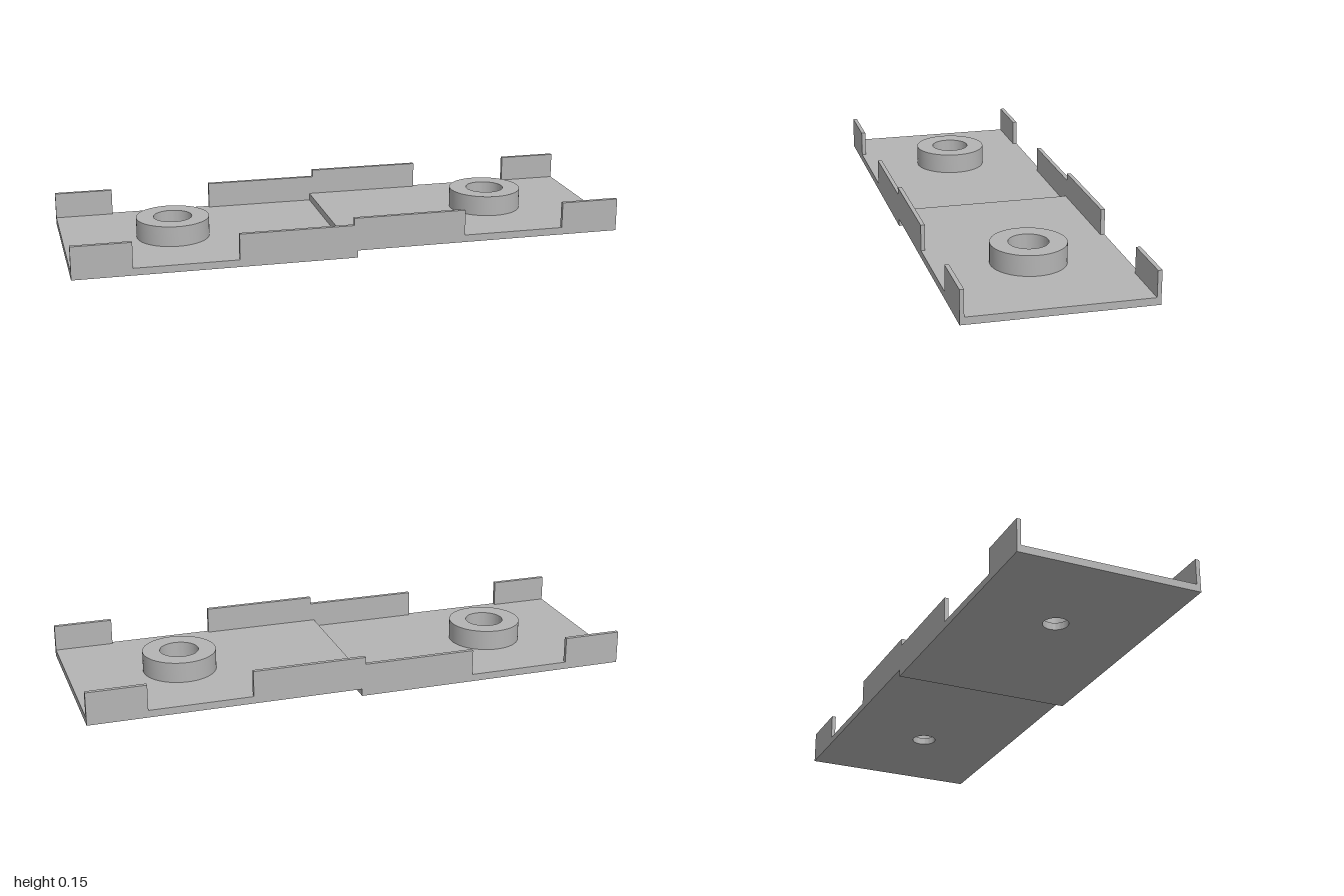
import * as THREE from 'three';
import { toCreasedNormals } from 'three/addons/utils/BufferGeometryUtils.js';

const HALF_DEPTH = 0.333, FLOOR = 0.0265, WALL = 0.015, WALL_HEIGHT = 0.094;
const RING_X = 0.6, RING_R = 0.133, BORE_R = 0.07, HOLE_R = 0.045, RING_HEIGHT = 0.074;

export function createModel() {
  const grey = new THREE.MeshStandardMaterial({ color: 0xb4b4b4 });
  grey.name = 'plain grey';

  const model = new THREE.Group();
  model.name = 'overlappingTrays';

  function add(parent, name, geometry, x, y, z) {
    const mesh = new THREE.Mesh(geometry, grey);
    mesh.name = name;
    mesh.position.set(x, y, z);
    parent.add(mesh);
  }

  // One tray: a drilled floor, four low side walls and a counterbored ring
  function addTray(name, side, y) {
    const tray = new THREE.Group();
    tray.name = name;
    tray.position.y = y;
    model.add(tray);

    // Floor reaches slightly past the middle to overlap its neighbour
    const x0 = side < 0 ? -1 : -0.013, x1 = side < 0 ? 0.013 : 1;
    const outline = new THREE.Shape([
      new THREE.Vector2(x0, -HALF_DEPTH), new THREE.Vector2(x1, -HALF_DEPTH),
      new THREE.Vector2(x1, HALF_DEPTH), new THREE.Vector2(x0, HALF_DEPTH),
    ]);
    outline.holes.push(new THREE.Path().absarc(side * RING_X, 0, HOLE_R, 0, Math.PI * 2, true));
    const floor = new THREE.ExtrudeGeometry(outline, { depth: FLOOR, bevelEnabled: false, curveSegments: 32 });
    floor.rotateX(-Math.PI / 2);
    add(tray, 'floor', toCreasedNormals(floor, 0.6), 0, 0, 0);

    // Side walls, notched beside the ring
    for (const z of [-1, 1]) {
      for (const [label, a, b] of [['innerWall', 0, 0.413], ['endWall', 0.787, 1]]) {
        add(tray, label, new THREE.BoxGeometry(b - a, WALL_HEIGHT, WALL),
          side * (a + b) / 2, FLOOR + WALL_HEIGHT / 2, z * (HALF_DEPTH - WALL / 2));
      }
    }

    // Raised ring, wider inside than the floor hole
    const profile = [[RING_R, 0], [RING_R, RING_HEIGHT], [BORE_R, RING_HEIGHT], [BORE_R, 0]]
      .map(([r, h]) => new THREE.Vector2(r, h));
    add(tray, 'ring', toCreasedNormals(new THREE.LatheGeometry(profile, 64), 0.6), side * RING_X, FLOOR, 0);
  }

  addTray('lowerTray', -1, 0);
  addTray('upperTray', 1, FLOOR);
  return model;
}
